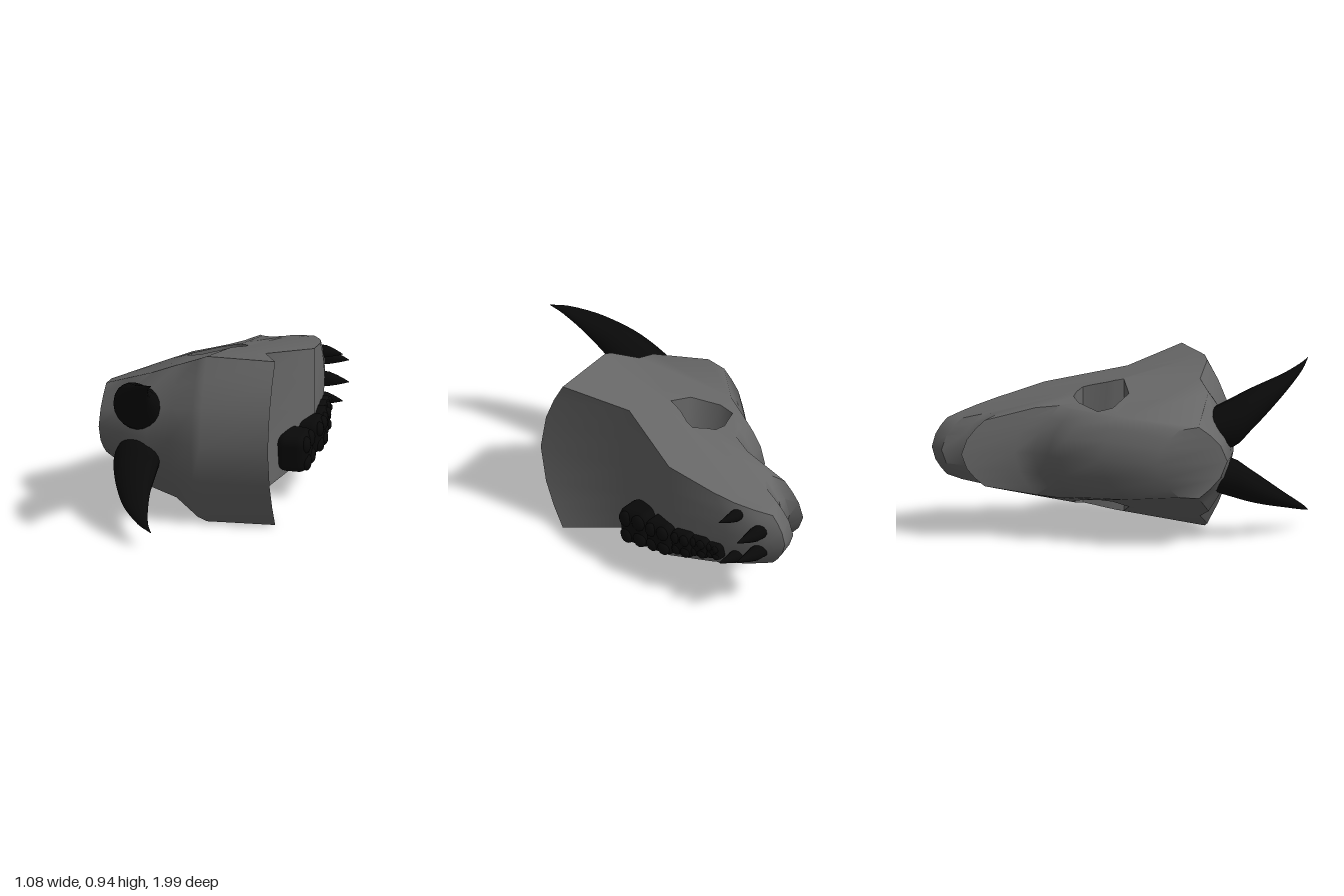
import * as THREE from 'three';
import { toCreasedNormals } from 'three/addons/utils/BufferGeometryUtils.js';
import { RoundedBoxGeometry } from 'three/addons/geometries/RoundedBoxGeometry.js';

const MID = 0.468; // height of the symmetry plane

const bone = new THREE.MeshStandardMaterial({ color: 0x676767 });
bone.name = 'grey bone';
const black = new THREE.MeshStandardMaterial({ color: 0x090909 });
black.name = 'black horn';

// Skull profile: x, z on the symmetry plane, z on the side plates
const PROFILE = [
  [-0.545, 0.41, 0.25], [-0.4, 0.475, 0.32], [-0.25, 0.53, 0.39], [-0.12, 0.54, 0.38],
  [0.02, 0.615, 0.46], [0.07, 0.613, 0.46], [0.445, 0.595, 0.44], // back of the skull
  [0.3, 0.11, 0.095], [0.46, -0.32, -0.32], [0.42, -0.69, -0.6], [0.39, -0.81, -0.72], // palate
  [0.35, -0.915, -0.82], [0.3, -1, -0.915], [0.2, -0.975, -0.86], [0.165, -0.885, -0.755], // snout
  [0.11, -0.83, -0.7], [0.07, -0.84, -0.71], [0.04, -0.91, -0.78], [0.02, -0.62, -0.5], // nose notch
  [-0.03, -0.53, -0.38], [-0.11, -0.47, -0.33], [-0.21, -0.43, -0.3],
  [-0.32, -0.24, -0.1], [-0.545, 0.01, 0.14], // forehead
];
const EYE = [
  [0.07, -0.255], [0.125, -0.205], [0.115, -0.155], [0.08, -0.08], [0.07, -0.04], [0.06, 0.005],
  [-0.09, -0.01], [-0.195, -0.13], [-0.195, -0.215], [-0.05, -0.28], [0.03, -0.285],
];
// Points on the line x = 0.07, where the side plates start to narrow
const FOLD = { back: 5, nose: 16, eyeTop: 0, eyeLow: 4 };

// Half thickness of the skull: tapers to the snout and to the forehead
const half = (x, z) => (0.468 - (0.46 - z) * 0.228) * Math.min(1, 1 - 0.87 * (0.07 - x));

function skullGeometry() {
  const out = [];
  const tri = (...pts) => pts.forEach((p) => out.push(...p));
  const walls = (lower, upper) => lower.forEach((p, i) => {
    const j = (i + 1) % lower.length;
    tri(p, lower[j], upper[j]);
    tri(p, upper[j], upper[i]);
  });

  // Bowed outer wall, from one side plate to the other
  const layer = (s) => PROFILE.map(([x, zc, ze]) =>
    [x, MID + s * half(x, ze), zc + (ze - zc) * Math.abs(s) ** 1.8]);
  const levels = [-1, -0.75, -0.45, 0, 0.45, 0.75, 1];
  for (let i = 0; i < levels.length - 1; i++) walls(layer(levels[i]), layer(levels[i + 1]));

  // Eye opening right through
  const eyeRing = (s) => EYE.map(([x, z]) => [x, MID + s * half(x, z), z]);
  walls(eyeRing(-1), eyeRing(1));

  // Side plates, each in two pieces that meet along the fold
  const plate = (s, ring) => {
    const flat = ring.map((p) => new THREE.Vector2(p[0], -p[2]));
    for (const [a, b, c] of THREE.ShapeUtils.triangulateShape(flat, [])) {
      if (s > 0) tri(ring[a], ring[b], ring[c]);
      else tri(ring[a], ring[c], ring[b]);
    }
  };
  for (const s of [-1, 1]) {
    const rim = layer(s), eye = eyeRing(s);
    plate(s, [...rim.slice(FOLD.back, FOLD.nose + 1), ...eye.slice(FOLD.eyeTop, FOLD.eyeLow + 1)]);
    plate(s, [...rim.slice(FOLD.nose), ...rim.slice(0, FOLD.back + 1),
      ...eye.slice(FOLD.eyeLow), eye[FOLD.eyeTop]]);
  }

  const g = new THREE.BufferGeometry();
  g.setAttribute('position', new THREE.Float32BufferAttribute(out, 3));
  return toCreasedNormals(g, 0.9);
}

// Smooth tapered loft along a list of rings { c, a, b }, ellipses spanned by the axes u and v
function loft(rings, u, v, sides = 16) {
  const pos = [], idx = [];
  rings.forEach(({ c, a, b }, r) => {
    for (let i = 0; i < sides; i++) {
      const t = (i / sides) * Math.PI * 2;
      const p = [...c];
      p[u] += a * Math.cos(t);
      p[v] += b * Math.sin(t);
      pos.push(...p);
      if (r === 0) continue;
      const j = (i + 1) % sides, lo = (r - 1) * sides, hi = r * sides;
      idx.push(lo + i, lo + j, hi + j, lo + i, hi + j, hi + i);
    }
  });
  const g = new THREE.BufferGeometry();
  g.setAttribute('position', new THREE.Float32BufferAttribute(pos, 3));
  g.setIndex(idx);
  g.computeVertexNormals();
  return g;
}

// Horn rings: x, y, z, x radius, y radius
const HORN = [
  [-0.31, 0.6, 0.36, 0.12, 0.1], [-0.308, 0.63, 0.5, 0.127, 0.13], [-0.295, 0.69, 0.6, 0.115, 0.112],
  [-0.273, 0.75, 0.7, 0.095, 0.085], [-0.23, 0.82, 0.82, 0.069, 0.049],
  [-0.164, 0.885, 0.93, 0.031, 0.021], [-0.1, 0.925, 0.99, 0.001, 0.001],
];

function hornGeometry(mapY, height) {
  const spline = (f) => new THREE.CatmullRomCurve3(HORN.map(f), false, 'catmullrom');
  const path = spline(([x, y, z]) => new THREE.Vector3(x, mapY(y), z));
  const radii = spline(([, , , a, b]) => new THREE.Vector3(a, b * height, 0));
  const rings = [];
  for (let i = 0; i <= 18; i++) {
    const r = radii.getPoint(i / 18);
    rings.push({ c: path.getPoint(i / 18).toArray(), a: r.x, b: r.y });
  }
  return loft(rings, 0, 1, 20);
}

export function createModel() {
  const model = new THREE.Group();
  model.name = 'hornedSkull';
  const add = (name, geometry, material, parent = model) => {
    const m = new THREE.Mesh(geometry, material);
    m.name = name;
    parent.add(m);
    return m;
  };

  add('skull', skullGeometry(), bone);
  add('upperHorn', hornGeometry((y) => y, 1), black);
  add('lowerHorn', hornGeometry((y) => 0.44 - (y - 0.5) * 0.82, 0.82), black);

  // Fangs: base x, y, z, radius, tip z
  const fangs = [
    [0.33, 0.525, -0.87, 0.042, -0.845], [0.33, 0.4, -0.87, 0.042, -0.845],
    [0.36, 0.6, -0.745, 0.035, -0.715], [0.36, 0.335, -0.745, 0.035, -0.715],
  ];
  for (const [x, y, z, r, tip] of fangs) {
    const rings = [[0, 1], [0.35, 0.95], [0.6, 0.65], [0.85, 0.28], [1, 0.02]].map(([t, k]) =>
      ({ c: [x + t * (0.515 - x), y, z + (tip - z) * t * t], a: r * k, b: r * k }));
    add('fang', loft(rings, 1, 2, 12), black);
  }

  // Molars: centre x, y, z and size x, y, z, each with low cusps on the biting face
  const molars = [
    [0.415, 0.26, -0.09, 0.17, 0.21, 0.2], [0.435, 0.293, -0.28, 0.17, 0.185, 0.18],
    [0.435, 0.313, -0.43, 0.14, 0.145, 0.14], [0.425, 0.326, -0.53, 0.11, 0.12, 0.12],
    [0.415, 0.335, -0.625, 0.1, 0.09, 0.095],
  ];
  const molarRow = new THREE.Group();
  molarRow.name = 'molarRow';
  model.add(molarRow);
  for (const [x, y, z, sx, sy, sz] of molars) {
    const crown = add('molar', new RoundedBoxGeometry(sx, sy, sz, 4, sz * 0.25), black, molarRow);
    crown.position.set(x, y, z);
    crown.rotation.x = 0.12;
    for (const dy of [-1, 1]) for (const dz of [-1, 1]) {
      const cusp = add('cusp', new THREE.SphereGeometry(1, 10, 8), black, crown);
      cusp.position.set(sx * 0.44, dy * sy * 0.24, dz * sz * 0.22);
      cusp.scale.set(sx * 0.15, sy * 0.22, sz * 0.22);
    }
  }
  return model;
}
